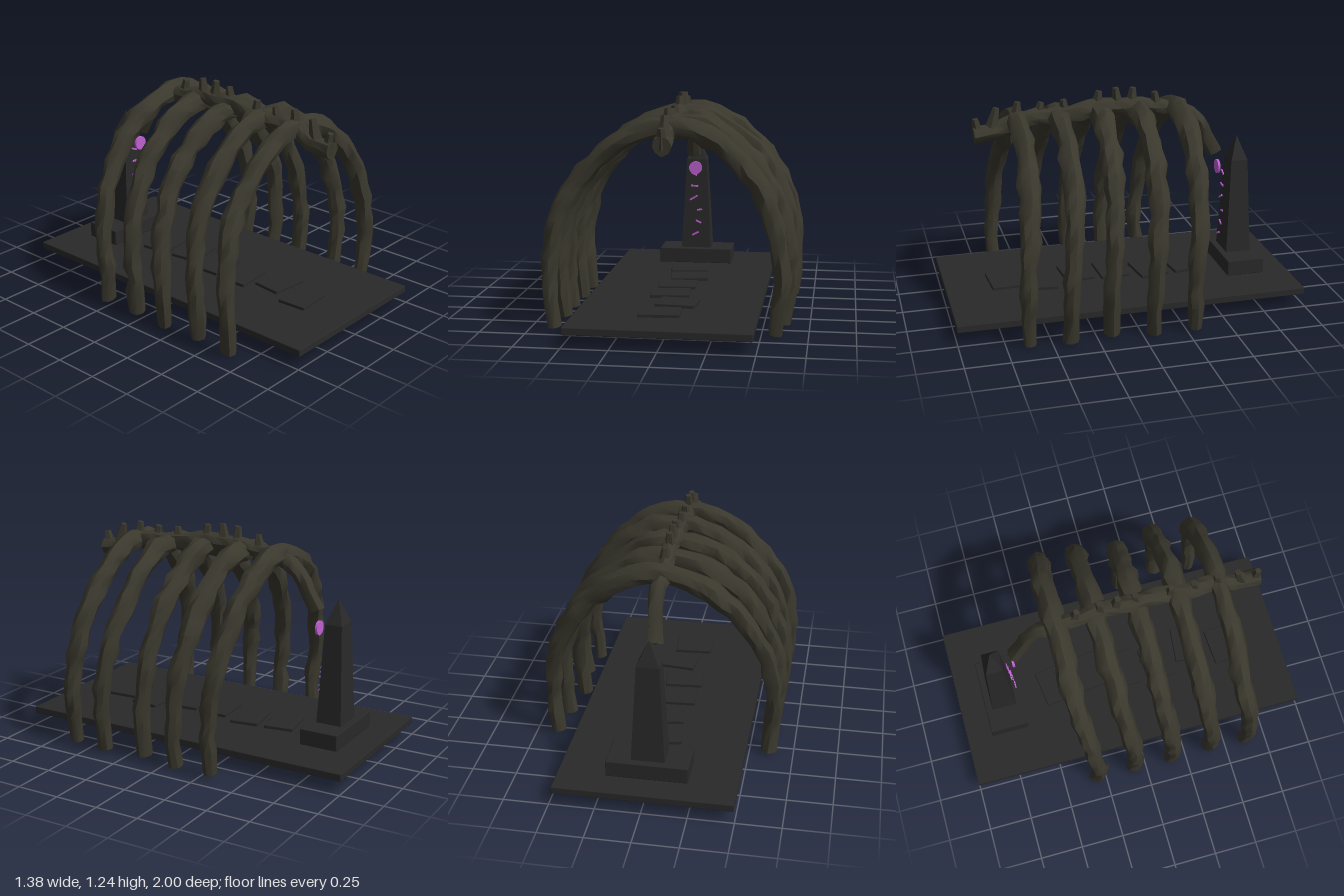
import * as THREE from 'three';
import { toCreasedNormals } from 'three/addons/utils/BufferGeometryUtils.js';
import { RoundedBoxGeometry } from 'three/addons/geometries/RoundedBoxGeometry.js';

const material = (name, color) => {
  const m = new THREE.MeshStandardMaterial({ color });
  m.name = name;
  return m;
};

// Small seeded generator for the uneven bone surface
function seeded(seed) {
  let s = seed * 7919 + 17;
  return () => {
    s = (s * 16807) % 2147483647;
    return s / 2147483647;
  };
}

// Knobbly closed tube along a path; radius is a function of 0..1
function boneGeometry(points, segments, radius, seed, sides = 8) {
  const curve = new THREE.CatmullRomCurve3(points.map((p) => new THREE.Vector3(...p)));
  const geo = new THREE.TubeGeometry(curve, segments, 1, sides);
  const pos = geo.attributes.position;
  const random = seeded(seed);
  const v = new THREE.Vector3();
  for (let i = 0; i <= segments; i++) {
    // The outermost rings collapse into end caps
    const cap = i === 0 || i === segments;
    const centre = curve.getPointAt(i / segments);
    let target = centre.clone();
    if (i === 1) target = curve.getPointAt(0.002);
    if (i === segments - 1) target = curve.getPointAt(0.998);
    const swell = 0.87 + 0.26 * random();
    if (!cap) target.add(v.set(random() - 0.5, random() - 0.5, random() - 0.5).multiplyScalar(0.014));
    const bumps = Array.from({ length: sides }, () => 0.88 + 0.24 * random());
    for (let j = 0; j <= sides; j++) {
      const k = i * (sides + 1) + j;
      v.fromBufferAttribute(pos, k).sub(centre);
      v.multiplyScalar(cap ? 0 : radius(i / segments) * swell * bumps[j % sides]).add(target);
      pos.setXYZ(k, v.x, v.y, v.z);
    }
  }
  return toCreasedNormals(geo, 0.75);
}

export function createModel() {
  const model = new THREE.Group();
  model.name = 'ribcageShrine';
  const bone = material('dark bone', 0x3a382d);
  const stone = material('dark stone', 0x29292a);
  const glow = material('violet glow', 0xc060d2);
  const cx = -0.005;

  const add = (name, geo, mat, x, y, z, parent = model) => {
    const mesh = new THREE.Mesh(geo, mat);
    mesh.name = name;
    mesh.position.set(x, y, z);
    parent.add(mesh);
    return mesh;
  };

  // Floor slab and pedestal with softened edges
  add('floorSlab', new RoundedBoxGeometry(0.98, 0.041, 2, 1, 0.005), stone, cx, 0.0975, 0);
  add('pedestal', new RoundedBoxGeometry(0.45, 0.092, 0.222, 1, 0.005), stone, cx, 0.163, -0.737);

  // Loose paving tiles: x, z, turn
  const tiles = [
    [-0.035, 0.66, 0.06], [0.03, 0.445, -0.1], [-0.04, 0.23, 0.08],
    [-0.03, 0.02, 0.05], [0.01, -0.2, 0.14], [-0.015, -0.41, 0.14],
  ];
  for (const [x, z, turn] of tiles) {
    add('pavingTile', new RoundedBoxGeometry(0.22, 0.022, 0.17, 1, 0.004), stone, x, 0.125, z).rotation.y = turn;
  }

  // Obelisk: tapered shaft with a pyramid tip
  const obelisk = new THREE.Group();
  obelisk.name = 'obelisk';
  obelisk.position.set(cx, 0, -0.735);
  obelisk.scale.z = 0.8;
  model.add(obelisk);
  const frustum = (top, bottom, h) => {
    const g = new THREE.CylinderGeometry(top * Math.SQRT2, bottom * Math.SQRT2, h, 4, 1);
    return toCreasedNormals(g.rotateY(Math.PI / 4), 0.3);
  };
  add('obeliskShaft', frustum(0.062, 0.092, 0.56), stone, 0, 0.49, 0, obelisk);
  add('obeliskTip', frustum(0.001, 0.062, 0.135), stone, 0, 0.8375, 0, obelisk);

  // Glowing disc and marks: x, y, z, length, turn
  add('glowDisc', new THREE.CylinderGeometry(0.041, 0.041, 0.014, 20).rotateX(Math.PI / 2),
    glow, cx, 0.725, -0.621);
  const marks = [
    [-0.018, 0.68, -0.66, 0.04, -0.45], [-0.015, 0.605, -0.656, 0.045, -0.08],
    [-0.02, 0.53, -0.652, 0.055, 0.55], [0.018, 0.455, -0.648, 0.032, 0.2],
    [0.012, 0.378, -0.644, 0.038, -0.45], [-0.008, 0.303, -0.64, 0.045, 0.5],
  ];
  for (const [x, y, z, len, turn] of marks) {
    add('glowMark', new THREE.BoxGeometry(len, 0.01, 0.007), glow, x, y, z).rotation.z = turn;
  }

  // Ribs: z at the crown, half-widths on each side
  const ribs = [
    [0.565, 0.64, 0.605], [0.335, 0.63, 0.64], [0.1, 0.64, 0.59],
    [-0.13, 0.63, 0.635], [-0.355, 0.63, 0.64],
  ];
  // Half of the arch: fraction of half-width, y, forward lean
  const arch = [
    [0.955, 0.012, 0.06], [0.995, 0.22, 0.066], [0.97, 0.5, 0.047],
    [0.835, 0.74, 0.022], [0.58, 0.945, 0.006], [0.3, 1.065, 0],
  ];
  ribs.forEach(([z, right, left], i) => {
    const path = [
      ...arch.map(([x, y, lean]) => [-x * right, y, z + lean]),
      [cx, 1.105, z],
      ...arch.map(([x, y, lean]) => [x * left, y, z + lean]).reverse(),
    ];
    const radius = (t) => 0.041 + 0.018 * Math.sin(Math.PI * t);
    add('rib', boneGeometry(path, 38, radius, i + 3), bone, 0, 0, 0);
  });

  // Spine running over the ribs and drooping towards the obelisk
  const spine = [
    [cx, 1.03, 0.8], [cx, 1.04, 0.69], [cx, 1.085, 0.57], [cx, 1.11, 0.33], [cx, 1.13, 0.1],
    [cx, 1.13, -0.13], [cx, 1.095, -0.35], [cx, 1.06, -0.46], [cx, 0.95, -0.53], [cx, 0.81, -0.6],
  ];
  add('spine', boneGeometry(spine, 26, (t) => 0.052 - 0.012 * t, 21), bone, 0, 0, 0);

  // Vertebra spurs: z, top height, lean
  const spurs = [
    [0.78, 1.12, 0.2], [0.685, 1.175, -0.25], [0.56, 1.2, -0.15], [0.435, 1.19, -0.25], [0.29, 1.195, 0.1],
    [0.1, 1.23, -0.15], [-0.01, 1.243, 0.1], [-0.1, 1.238, -0.1], [-0.24, 1.205, 0.15],
  ];
  for (const [z, top, lean] of spurs) {
    const geo = toCreasedNormals(new THREE.CylinderGeometry(0.019, 0.038, 0.11, 5), 0.4);
    add('vertebraSpur', geo, bone, cx, top - 0.055, z).rotation.x = lean;
  }

  return model;
}
